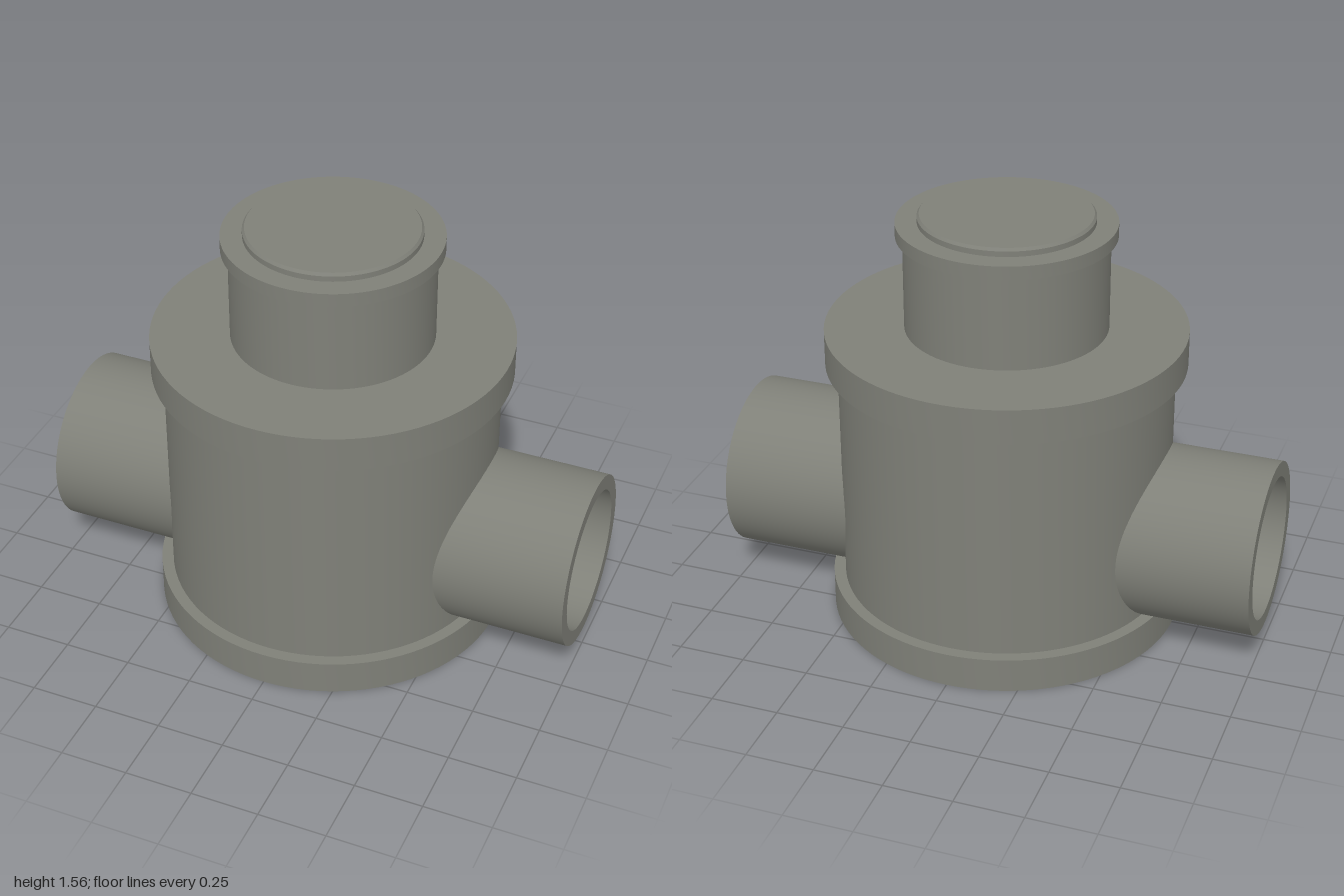
import * as THREE from 'three';
import { toCreasedNormals } from 'three/addons/utils/BufferGeometryUtils.js';

// Turned part with crisp edges; profile is [radius, height] pairs
function turned(profile) {
  const points = profile.map(([r, y]) => new THREE.Vector2(r, y));
  return toCreasedNormals(new THREE.LatheGeometry(points, 96), 0.5);
}

export function createModel() {
  const group = new THREE.Group();
  const metal = new THREE.MeshStandardMaterial({ color: 0x7f8078 });
  metal.name = 'grey metal';

  const add = (name, geometry) => {
    const mesh = new THREE.Mesh(geometry, metal);
    mesh.name = name;
    group.add(mesh);
    return mesh;
  };

  // Main drum with base and top flanges
  add('body', turned([
    [0, 0], [0.65, 0], [0.65, 0.13], [0.607, 0.13],
    [0.607, 1.0], [0.65, 1.0], [0.65, 1.13], [0, 1.13],
  ]));

  // Neck with its rim and raised lid disc
  add('neck', turned([[0.365, 1.13], [0.365, 1.48]]));
  add('cap', turned([
    [0.365, 1.48], [0.39, 1.48], [0.39, 1.53], [0.313, 1.53],
    [0.313, 1.55], [0.305, 1.56], [0, 1.56],
  ]));

  // Hollow side pipes, open at the outer ends and closed by the drum wall
  const pipe = turned([[0.318, 0.5], [0.318, 1], [0.262, 1], [0.262, 0.5]]);
  pipe.rotateZ(-Math.PI / 2);
  ['leftPipe', 'rightPipe'].forEach((name, i) => {
    const mesh = add(name, pipe);
    mesh.position.y = 0.395;
    mesh.rotation.y = i * Math.PI;
  });

  return group;
}
